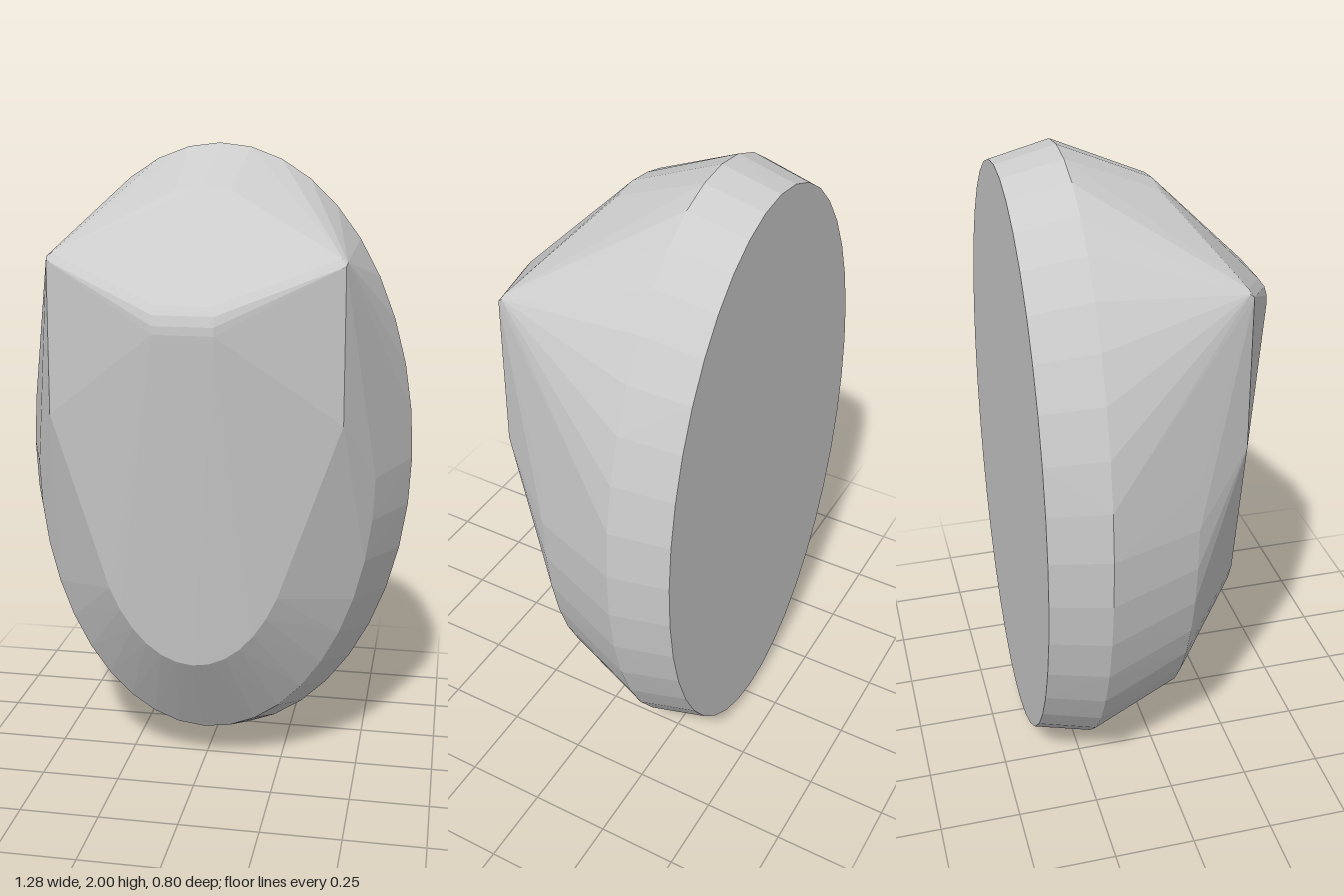
import * as THREE from 'three';
import { ConvexGeometry } from 'three/addons/geometries/ConvexGeometry.js';

const SEGMENTS = 40;

// Points of an upright ellipse centred on y = 1, kept below maxY
function ellipse(rx, ry, z, maxY = 3) {
  const points = [];
  for (let i = 0; i < SEGMENTS; i++) {
    const a = (i / SEGMENTS) * Math.PI * 2;
    const y = 1 + ry * Math.cos(a);
    if (y < maxY) points.push(new THREE.Vector3(rx * Math.sin(a), y, z));
  }
  return points;
}

// The same points on the left and right
function mirrored(list) {
  return list.flatMap(([x, y, z]) => [new THREE.Vector3(x, y, z), new THREE.Vector3(-x, y, z)]);
}

export function createModel() {
  const group = new THREE.Group();
  group.name = 'facetedShell';

  // Flat back, widest rim, front shoulder and lower edge of the front face
  const rings = [
    ...ellipse(0.6, 0.955, -0.4),
    ...ellipse(0.64, 1, -0.22),
    ...ellipse(0.54, 0.88, 0.06),
    ...ellipse(0.325, 0.58, 0.26, 0.7),
  ];

  // Softly rounded brow ridge
  const brow = mirrored([
    [0.08, 1.565, 0.372],
    [0.09, 1.54, 0.39],
    [0.09, 1.51, 0.399],
    [0.09, 1.485, 0.4],
    [0.09, 1.46, 0.397],
  ]);

  // Upright side corners with a small bevel on top
  const corners = mirrored([
    [0.435, 1.69, 0.215],
    [0.45, 1.68, 0.215],
    [0.447, 1.67, 0.228],
    [0.45, 1.2, 0.226],
  ]);

  const shell = new THREE.Mesh(
    new ConvexGeometry([...rings, ...brow, ...corners]),
    new THREE.MeshStandardMaterial({ color: 0xcccccc, flatShading: true })
  );
  shell.name = 'shell';
  group.add(shell);
  return group;
}
